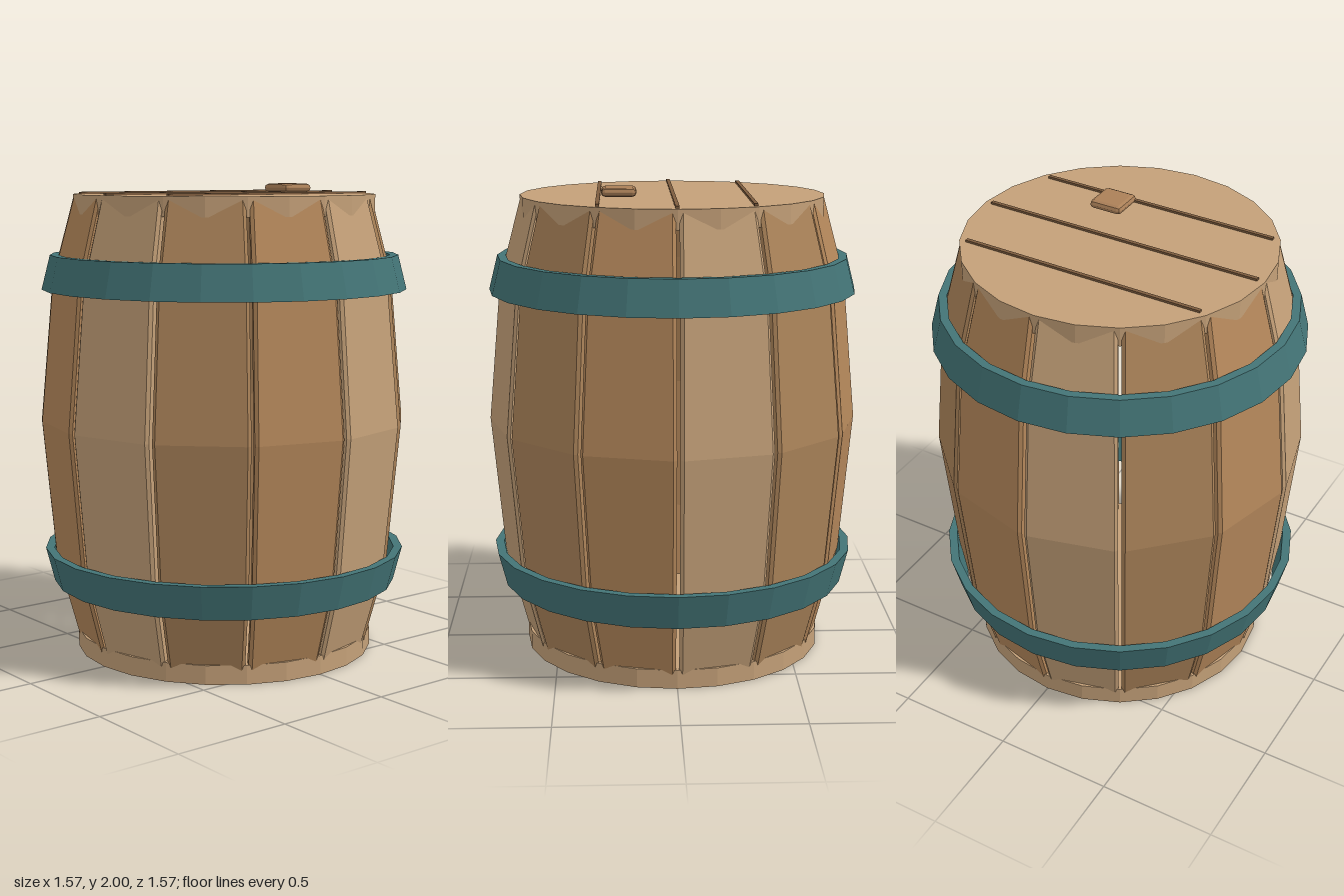
import * as THREE from 'three';
import { RoundedBoxGeometry } from 'three/addons/geometries/RoundedBoxGeometry.js';

const paint = (color) => new THREE.MeshStandardMaterial({ color, flatShading: true });
const WOOD = paint(0xc4a078);
const STAVES = [WOOD, paint(0xac845a), paint(0xb5885b)];
const GROOVE = paint(0x7d5c3e);
const HANDLE = paint(0xab8058);
const IRON = paint(0x437476);

function add(group, name, geometry, material, x = 0, y = 0, z = 0) {
  const mesh = new THREE.Mesh(geometry, material);
  mesh.name = name;
  mesh.position.set(x, y, z);
  group.add(mesh);
  return mesh;
}

// One bowed plank facing +z: a chamfered cross-section swept up the barrel
function staveGeometry() {
  const levels = [[0.055, 0.642], [0.4, 0.735], [1, 0.79], [1.6, 0.735], [1.945, 0.642]]; // y, corner radius
  const s = Math.sin(Math.PI / 12), c = Math.cos(Math.PI / 12);
  const gap = 0.01, bevel = 0.012, depth = 0.06;
  const positions = [], index = [];
  for (const [y, r] of levels) {
    const w = r * s - gap, wIn = (r - depth) * s - gap;
    const out = r * c, back = (r - depth) * c;
    const section = [
      [-w, out - bevel], [-w + bevel, out], [w - bevel, out],
      [w, out - bevel], [wIn, back], [-wIn, back],
    ];
    for (const [x, z] of section) positions.push(x, y, z);
  }
  const n = 6, top = (levels.length - 1) * n;
  for (let j = 0; j < levels.length - 1; j++) {
    for (let i = 0; i < n; i++) {
      const a = j * n + i, b = j * n + (i + 1) % n;
      index.push(a, b, b + n, a, b + n, a + n);
    }
  }
  for (let i = 1; i < n - 1; i++) {
    index.push(top, top + i, top + i + 1, 0, i + 1, i);
  }
  const geometry = new THREE.BufferGeometry();
  geometry.setAttribute('position', new THREE.Float32BufferAttribute(positions, 3));
  geometry.setIndex(index);
  const flat = geometry.toNonIndexed();
  flat.computeVertexNormals();
  return flat;
}

// Conical band, wider at its lower edge
function hoopGeometry() {
  const h = 0.0725;
  const profile = [[0.74, -h], [0.777, -h], [0.74, h], [0.705, h], [0.74, -h]];
  return new THREE.LatheGeometry(profile.map(([r, y]) => new THREE.Vector2(r, y)), 24);
}

export function createModel() {
  const barrel = new THREE.Group();
  barrel.name = 'barrel';

  // Twelve staves in three repeating wood tones
  const staves = new THREE.Group();
  staves.name = 'staves';
  barrel.add(staves);
  const plank = staveGeometry();
  for (let i = 0; i < 12; i++) {
    const stave = add(staves, `stave${i + 1}`, plank, STAVES[i % 3]);
    stave.rotation.y = (i + 0.5) * Math.PI / 6;
  }

  // Closing discs
  const disc = new THREE.CylinderGeometry(0.64, 0.64, 0.08, 24);
  add(barrel, 'bottom', disc, WOOD, 0, 0.04);
  add(barrel, 'lid', disc, WOOD, 0, 1.916);

  // Metal hoops, the lower one flipped
  const hoop = hoopGeometry();
  add(barrel, 'upperHoop', hoop, IRON, 0, 1.63);
  add(barrel, 'lowerHoop', hoop, IRON, 0, 0.37).rotation.x = Math.PI;

  // Board seams on the lid
  for (const [x, length] of [[-0.31, 1.05], [0, 1.22], [0.31, 1.05]]) {
    add(barrel, 'lidSeam', new THREE.BoxGeometry(0.016, 0.012, length), GROOVE, x, 1.959);
  }

  // Chamfered bung on the lid
  add(barrel, 'bung', new RoundedBoxGeometry(0.145, 0.036, 0.145, 1, 0.017), HANDLE, 0.225, 1.982, -0.163);

  return barrel;
}
